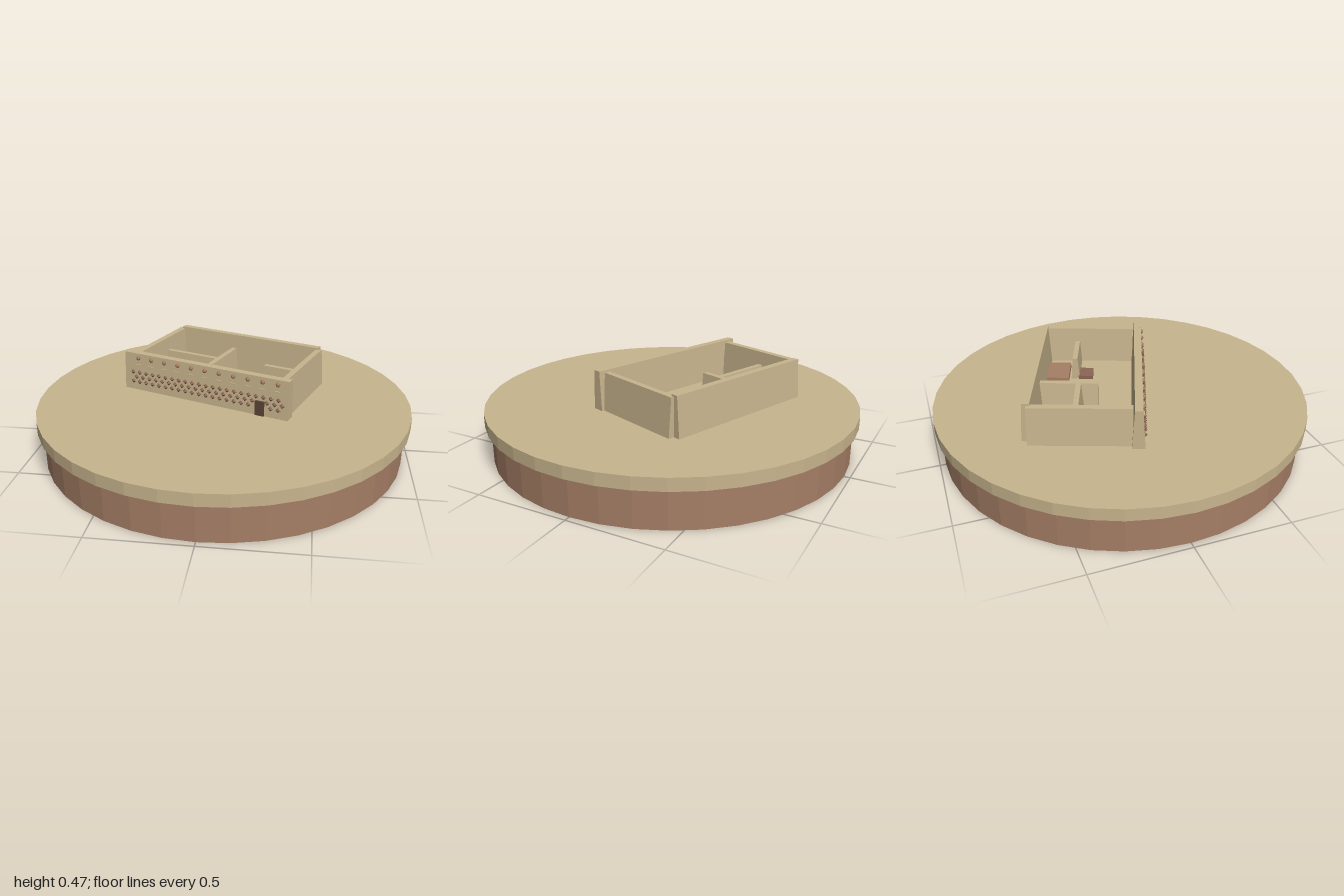
import * as THREE from 'three';

const mat = (name, color, flatShading = true) => {
  const m = new THREE.MeshStandardMaterial({ color, flatShading });
  m.name = name;
  return m;
};

export function createModel() {
  const sand = mat('sand', 0xc8b58e);
  const clay = mat('clay', 0xa67f66);
  const darkClay = mat('darkClay', 0x8b6552);
  const wood = mat('darkWood', 0x5e4636);

  const root = new THREE.Group();
  root.name = 'ruinedHouseOnPlinth';
  const GROUND = 0.265;

  function add(parent, name, geometry, material, x, y, z) {
    const mesh = new THREE.Mesh(geometry, material);
    mesh.name = name;
    mesh.position.set(x, y, z);
    parent.add(mesh);
    return mesh;
  }

  // Round plinth with a wider sand disc on top
  add(root, 'plinth', new THREE.CylinderGeometry(0.97, 0.97, 0.2, 40), clay, 0, 0.1, 0);
  add(root, 'sandDisc', new THREE.CylinderGeometry(1, 1, 0.065, 40), sand, 0, 0.2325, 0);

  // The house is turned on the disc
  const house = new THREE.Group();
  house.name = 'house';
  house.position.y = GROUND;
  house.rotation.y = THREE.MathUtils.degToRad(-20);
  root.add(house);

  // Wall that gets thinner towards the top, across its thickness only
  function wall(name, x0, x1, z0, z1, height, inset) {
    const w = x1 - x0, d = z1 - z0;
    const geo = new THREE.BoxGeometry(w, height, d);
    const p = geo.attributes.position;
    for (let i = 0; i < p.count; i++) {
      if (p.getY(i) < 0) continue;
      if (w > d) p.setZ(i, p.getZ(i) - Math.sign(p.getZ(i)) * inset);
      else p.setX(i, p.getX(i) - Math.sign(p.getX(i)) * inset);
    }
    geo.computeVertexNormals();
    add(house, name, geo, sand, (x0 + x1) / 2, height / 2, (z0 + z1) / 2);
  }

  // Outer walls
  wall('frontWall', -0.557, 0.428, 0.064, 0.128, 0.21, 0.012);
  wall('backWall', -0.5, 0.381, -0.472, -0.406, 0.21, 0.015);
  wall('rightEndWall', -0.537, -0.47, -0.438, 0.07, 0.2, 0.016);
  wall('leftEndWall', 0.35, 0.413, -0.435, 0.07, 0.2, 0.016);

  // Lower partitions inside
  wall('rightPartition', -0.475, -0.155, -0.24, -0.187, 0.13, 0.013);
  wall('middlePartition', -0.17, -0.115, -0.415, -0.11, 0.13, 0.013);
  wall('leftPartition', 0.13, 0.36, -0.275, -0.228, 0.125, 0.01);

  // Low clay platforms on the floor
  add(house, 'largePlatform', new THREE.BoxGeometry(0.182, 0.03, 0.125), clay, 0.174, 0.015, -0.349);
  add(house, 'smallPlatform', new THREE.BoxGeometry(0.096, 0.02, 0.08), darkClay, 0.174, 0.01, -0.194);

  // Ornaments follow the slope of the front wall
  const frontZ = (y) => 0.128 - 0.012 * (y / 0.21);
  const knob = new THREE.SphereGeometry(0.013, 8, 6);
  const dash = new THREE.BoxGeometry(0.03, 0.007, 0.012);
  const stud = new THREE.OctahedronGeometry(0.014);
  for (let i = 0; i < 11; i++) {
    const x = -0.47 + i * 0.0836;
    add(house, 'knob', knob, clay, x, 0.185, frontZ(0.185));
    add(house, 'ledge', dash, sand, x, 0.145, frontZ(0.145));
  }
  for (let row = 0; row < 3; row++) {
    const y = 0.047 + row * 0.027;
    for (let i = 0; i < 22; i++) {
      const x = -0.505 + i * 0.0418 + (row % 2) * 0.021;
      if (row < 2 && Math.abs(x - 0.272) < 0.03) continue;
      add(house, 'stud', stud, darkClay, x, y, frontZ(y));
    }
  }

  // Small doorway
  add(house, 'door', new THREE.BoxGeometry(0.05, 0.08, 0.02), wood, 0.272, 0.04, 0.124);

  return root;
}
